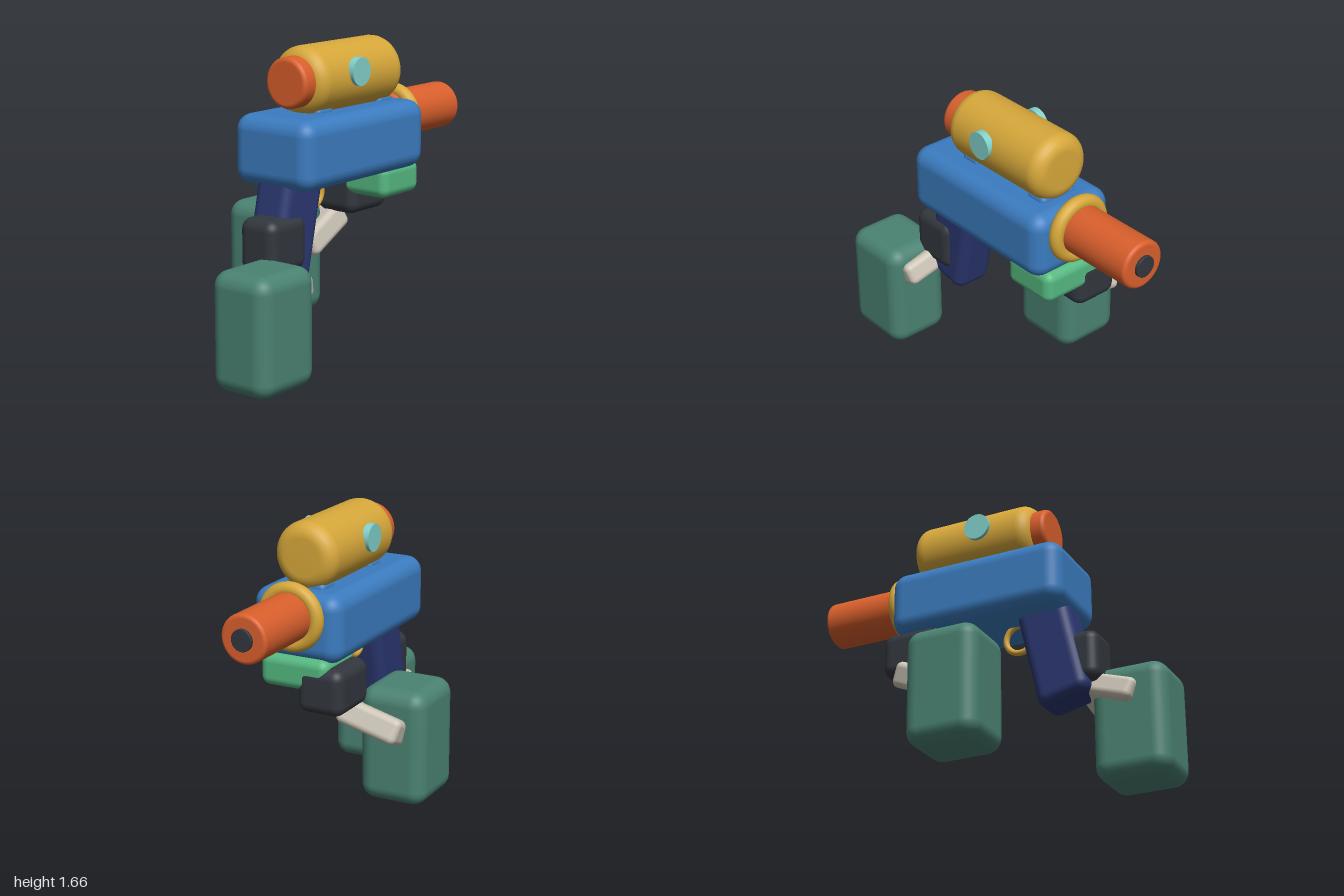
import * as THREE from 'three';
import { RoundedBoxGeometry } from 'three/addons/geometries/RoundedBoxGeometry.js';

const CX = 0.115; // centre line of the blaster

export function createModel() {
  const model = new THREE.Group();
  model.name = 'blasterWithArms';

  const paint = (name, color) => {
    const m = new THREE.MeshStandardMaterial({ color });
    m.name = name;
    return m;
  };
  const blue = paint('blue', 0x3b7cc0);
  const yellow = paint('yellow', 0xd6a73a);
  const orange = paint('orange', 0xd95f2c);
  const navy = paint('navy', 0x2b3770);
  const green = paint('green', 0x55b880);
  const sleeveGreen = paint('sleeveGreen', 0x4a8272);
  const charcoal = paint('charcoal', 0x32373e);
  const cream = paint('cream', 0xcdc5b7);
  const cyan = paint('cyan', 0x82d0ca);

  const add = (name, geometry, material, position) => {
    const mesh = new THREE.Mesh(geometry, material);
    mesh.name = name;
    mesh.position.set(...position);
    model.add(mesh);
    return mesh;
  };
  const box = (name, size, radius, material, position) =>
    add(name, new RoundedBoxGeometry(...size, 4, radius), material, position);

  // Solid of revolution along z with rounded rims, from z0 to z1
  const rod = (name, radius, z0, z1, bevel, material, y) => {
    const h = (z1 - z0) / 2;
    const pts = [new THREE.Vector2(0, -h)];
    for (const end of [-1, 1]) {
      for (let i = 0; i <= 6; i++) {
        const a = (end < 0 ? i : 6 - i) / 6 * Math.PI / 2;
        pts.push(new THREE.Vector2(
          radius - bevel + bevel * Math.sin(a),
          end * (h - bevel + bevel * Math.cos(a))));
      }
    }
    pts.push(new THREE.Vector2(0, h));
    const geo = new THREE.LatheGeometry(pts, 48).rotateX(Math.PI / 2);
    return add(name, geo, material, [CX, y, (z0 + z1) / 2]);
  };

  // Blaster body and scope mounts
  box('body', [0.515, 0.37, 1.025], 0.085, blue, [CX, 1.135, 0.02]);
  for (const z of [0.205, -0.31]) {
    box('scopeMount', [0.23, 0.1, 0.13], 0.03, blue, [CX, 1.3, z]);
  }

  // Scope with front lens and side discs
  rod('scope', 0.182, -0.4, 0.325, 0.08, yellow, 1.483);
  rod('scopeLens', 0.135, 0.29, 0.4, 0.025, orange, 1.483);
  for (const side of [-1, 1]) {
    add('scopeDisc', new THREE.CylinderGeometry(0.075, 0.075, 0.04, 32).rotateZ(Math.PI / 2),
      cyan, [CX + side * 0.182, 1.52, 0.02]);
  }

  // Barrel, collar and muzzle
  add('barrelCollar', new THREE.TorusGeometry(0.148, 0.039, 16, 48), yellow, [CX, 1.2, -0.515]);
  rod('barrel', 0.131, -0.983, -0.45, 0.022, orange, 1.207);
  rod('muzzle', 0.058, -1, -0.96, 0.003, charcoal, 1.207);

  // Grip, trigger ring and fore grip
  const grip = box('grip', [0.232, 0.6, 0.3], 0.06, navy, [CX, 0.735, 0.413]);
  grip.rotation.x = -0.22;
  add('triggerRing', new THREE.TorusGeometry(0.081, 0.017, 12, 40).rotateY(Math.PI / 2),
    yellow, [CX, 0.88, 0.185]);
  box('foreGrip', [0.4, 0.18, 0.325], 0.05, green, [CX, 0.89, -0.35]);

  // Hands, tilted cuffs and sleeves
  const arms = [
    {
      side: 'right', hand: [[0.27, 0.255, 0.33], [-0.035, 0.81, -0.35]],
      cuff: [[0.36, 0.14, 0.36], [-0.198, 0.56, -0.148]], tilt: [0.4, 0.25],
      sleeve: [[0.382, 0.64, 0.415], [-0.292, 0.445, 0.002]],
    },
    {
      side: 'left', hand: [[0.235, 0.29, 0.29], [0.138, 0.675, 0.525]],
      cuff: [[0.33, 0.13, 0.335], [0.24, 0.478, 0.677]], tilt: [0.35, -0.22],
      sleeve: [[0.367, 0.625, 0.42], [0.297, 0.3125, 0.79]],
    },
  ];
  for (const arm of arms) {
    box(arm.side + 'Hand', arm.hand[0], 0.06, charcoal, arm.hand[1]);
    const cuff = box(arm.side + 'Cuff', arm.cuff[0], 0.035, cream, arm.cuff[1]);
    cuff.rotation.set(arm.tilt[0], 0, arm.tilt[1], 'ZXY');
    box(arm.side + 'Sleeve', arm.sleeve[0], 0.085, sleeveGreen, arm.sleeve[1]);
  }

  return model;
}
